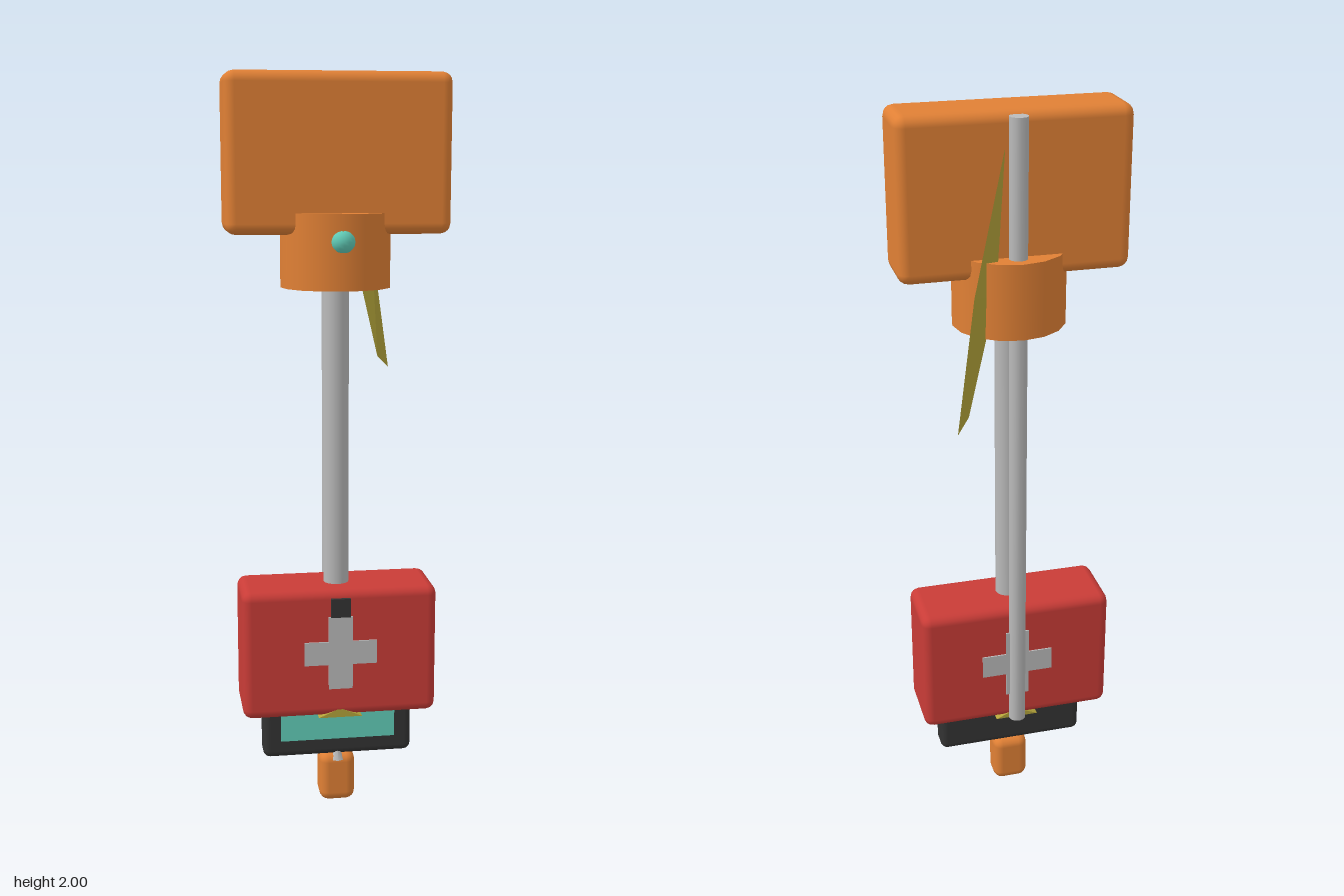
import * as THREE from 'three';
import { RoundedBoxGeometry } from 'three/addons/geometries/RoundedBoxGeometry.js';

const mat = (name, color, side = THREE.FrontSide) => {
  const m = new THREE.MeshStandardMaterial({ color, side });
  m.name = name;
  return m;
};

export function createModel() {
  const model = new THREE.Group();
  const orange = mat('orange', 0xe08035);
  const red = mat('red', 0xc93c37);
  const grey = mat('grey', 0xbababa);
  const dark = mat('charcoal', 0x333333);
  const teal = mat('teal', 0x62cdb8);
  const olive = mat('olive', 0xb3a33a, THREE.DoubleSide);
  olive.flatShading = true;

  const add = (name, geometry, material, x, y, z) => {
    const mesh = new THREE.Mesh(geometry, material);
    mesh.name = name;
    mesh.position.set(x, y, z);
    model.add(mesh);
    return mesh;
  };
  const block = (name, w, y0, y1, z0, z1, r, material) =>
    add(name, new RoundedBoxGeometry(w, y1 - y0, z1 - z0, 2, r), material, 0, (y0 + y1) / 2, (z0 + z1) / 2);
  const rod = (name, r, y0, y1, z, sides, material) =>
    add(name, new THREE.CylinderGeometry(r, r, y1 - y0, sides), material, 0, (y0 + y1) / 2, z);

  // Hammer head, collar and jewel
  block('head', 0.59, 1.59, 2, -0.093, 0.08, 0.028, orange);
  rod('collar', 0.147, 1.45, 1.645, -0.007, 16, orange);
  add('jewel', new THREE.SphereGeometry(0.033, 16, 12), teal, 0, 1.575, 0.122);

  // Main shaft and the thinner rod behind it
  rod('shaft', 0.035, 0.3, 1.6, 0, 16, grey);
  rod('backRod', 0.024, 0.275, 1.99, -0.105, 12, grey);

  // Red case with a cross on both faces and a clip on the front
  block('case', 0.535, 0.277, 0.64, -0.106, 0.091, 0.026, red);
  const cross = new THREE.Shape();
  [[-0.1, -0.033], [-0.033, -0.033], [-0.033, -0.103], [0.033, -0.103], [0.033, -0.033], [0.1, -0.033],
    [0.1, 0.033], [0.033, 0.033], [0.033, 0.103], [-0.033, 0.103], [-0.033, 0.033], [-0.1, 0.033]]
    .forEach(([x, y], i) => (i ? cross.lineTo(x, y) : cross.moveTo(x, y)));
  const crossPlate = new THREE.ExtrudeGeometry(cross, { depth: 0.006, bevelEnabled: false });
  add('frontCross', crossPlate, grey, 0, 0.462, 0.089);
  add('backCross', crossPlate, grey, 0, 0.462, -0.11);
  add('clip', new THREE.BoxGeometry(0.054, 0.052, 0.03), dark, 0, 0.591, 0.085);

  // Small wedge showing under the case
  const tri = new THREE.Shape();
  tri.moveTo(-0.06, 0.274);
  tri.lineTo(0.06, 0.274);
  tri.lineTo(0, 0.3);
  add('wedge', new THREE.ExtrudeGeometry(tri, { depth: 0.194, bevelEnabled: false }), olive, 0, 0, -0.1045);

  // Display panel
  block('panel', 0.418, 0.14, 0.42, -0.038, 0.038, 0.02, dark);
  add('screen', new THREE.BoxGeometry(0.32, 0.17, 0.006), teal, 0, 0.275, 0.038);

  // Pommel and its pointed tip
  block('pommel', 0.1, 0, 0.143, -0.045, 0.042, 0.026, orange);
  add('tip', new THREE.ConeGeometry(0.02, 0.04, 8), grey, 0, 0.145, 0.028);

  // Thin slanted blade hanging beside the rod
  const blade = new THREE.BufferGeometry();
  blade.setAttribute('position', new THREE.Float32BufferAttribute([
    0.035, 1.92, -0.111,
    0.06, 1.56, -0.117,
    0.118, 1.56, -0.131,
    0.135, 1.245, -0.127,
    0.17, 1.21, -0.153,
  ], 3));
  blade.setIndex([0, 1, 2, 1, 3, 2, 3, 4, 2]);
  blade.computeVertexNormals();
  add('blade', blade, olive, 0, 0, 0);

  return model;
}
